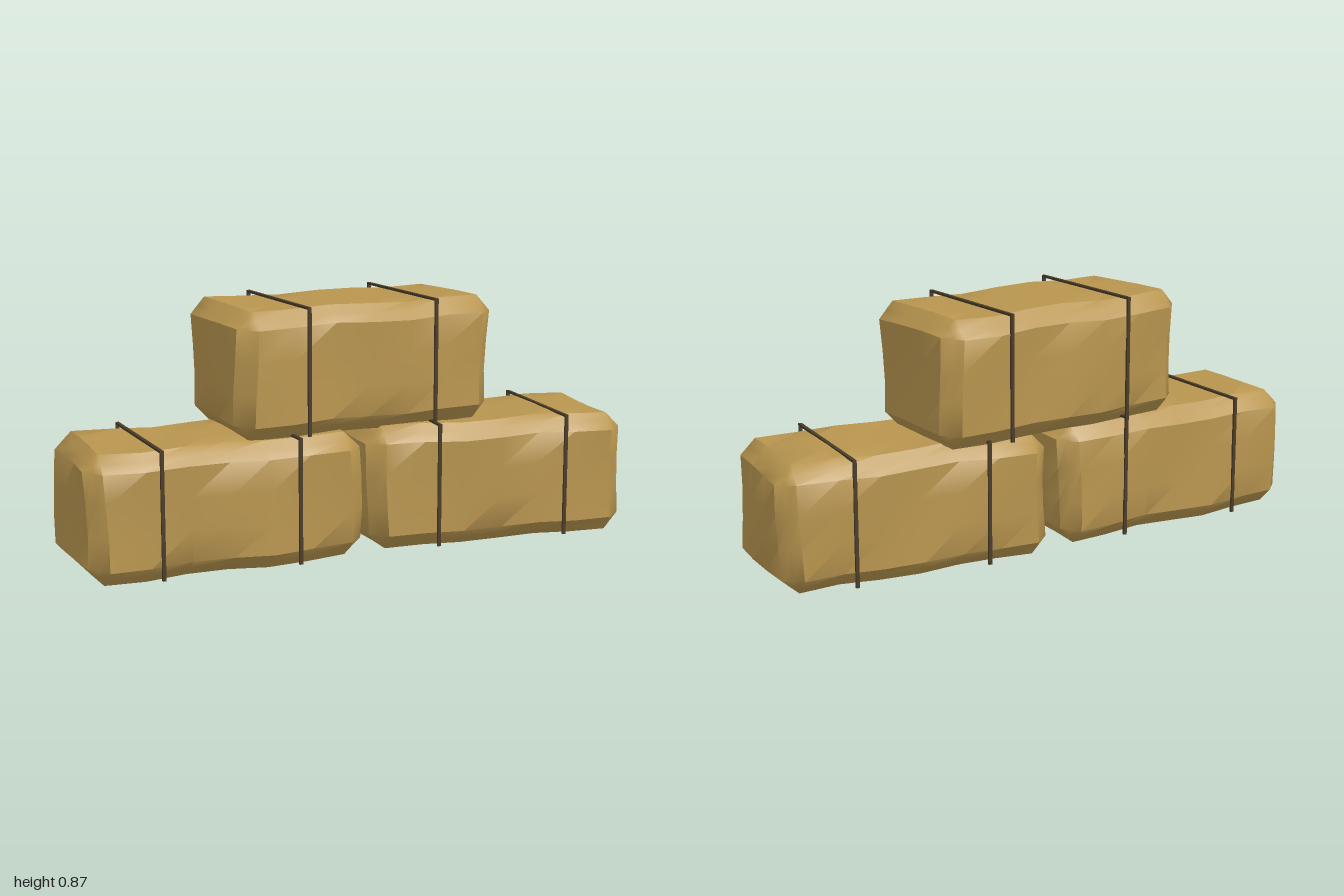
import * as THREE from 'three';
import { toCreasedNormals } from 'three/addons/utils/BufferGeometryUtils.js';

const straw = new THREE.MeshStandardMaterial({ color: 0xb8954f });
straw.name = 'straw';
const twine = new THREE.MeshStandardMaterial({ color: 0x4a3c28 });
twine.name = 'brown twine';

const LENGTH = 0.956, HEIGHT = 0.43, DEPTH = 0.476, BEVEL = 0.055;

// Lattice lines along one axis: both ends, the bevel lines, and even steps between
function gridLines(size, segments) {
  const h = size / 2, lines = [-h];
  for (let i = 0; i <= segments - 2; i++) {
    lines.push(-h + BEVEL + (size - 2 * BEVEL) * i / (segments - 2));
  }
  lines.push(h);
  return lines;
}

// Bevelled block whose surface is gently lumpy
function baleGeometry(seed) {
  const size = [LENGTH, HEIGHT, DEPTH], segs = [8, 5, 5];
  const g = new THREE.BoxGeometry(1, 1, 1, ...segs);
  const lines = size.map((s, a) => gridLines(s, segs[a]));
  const pos = g.attributes.position;
  for (let i = 0; i < pos.count; i++) {
    const index = [0, 1, 2].map(a => Math.round((pos.getComponent(i, a) + 0.5) * segs[a]));
    const p = index.map((n, a) => lines[a][n]);
    const outer = [0, 1, 2].filter(a => index[a] === 0 || index[a] === segs[a]);
    // flat bevels: pull edges to the bevel's middle, corners a little further
    const inset = [0, 0, BEVEL * 0.5, BEVEL * 0.66][outer.length];
    outer.forEach(a => { p[a] -= Math.sign(p[a]) * inset; });
    const [x, y, z] = p;
    pos.setXYZ(i,
      x + 0.008 * Math.sin(9 * y + 8 * z + seed),
      y + 0.005 * Math.sin(13 * x + 6 * z + seed * 2),
      z + 0.007 * Math.sin(11 * x + 9 * y + seed * 3));
  }
  return toCreasedNormals(g, 0.75);
}

// Twine over the top and down both sides
function makeTwine(x) {
  const strap = new THREE.Group();
  strap.name = 'twine';
  const w = 0.012, t = 0.008, drop = 0.43, span = 0.498;
  const top = new THREE.Mesh(new THREE.BoxGeometry(w, t, span), twine);
  top.name = 'twineTop';
  top.position.set(x, HEIGHT / 2 + 0.005, 0);
  strap.add(top);
  for (const side of [1, -1]) {
    const leg = new THREE.Mesh(new THREE.BoxGeometry(w, drop, t), twine);
    leg.name = side > 0 ? 'twineFront' : 'twineBack';
    leg.position.set(x, HEIGHT / 2 + 0.009 - drop / 2, side * (span - t) / 2);
    strap.add(leg);
  }
  return strap;
}

function makeBale(name, x, y, z, turn, seed) {
  const bale = new THREE.Group();
  bale.name = name;
  const body = new THREE.Mesh(baleGeometry(seed), straw);
  body.name = 'baleBody';
  bale.add(body, makeTwine(-0.238), makeTwine(0.238));
  bale.position.set(x, y, z);
  bale.rotation.y = turn;
  return bale;
}

export function createModel() {
  const model = new THREE.Group();
  model.name = 'haybaleStack';
  model.add(
    makeBale('lowerRightBale', -0.508, 0.223, 0.037, 0.028, 0.6),
    makeBale('lowerLeftBale', 0.506, 0.223, 0.012, -0.05, 2.4),
    makeBale('upperBale', -0.002, 0.648, -0.018, 0.083, 4.1));
  return model;
}
